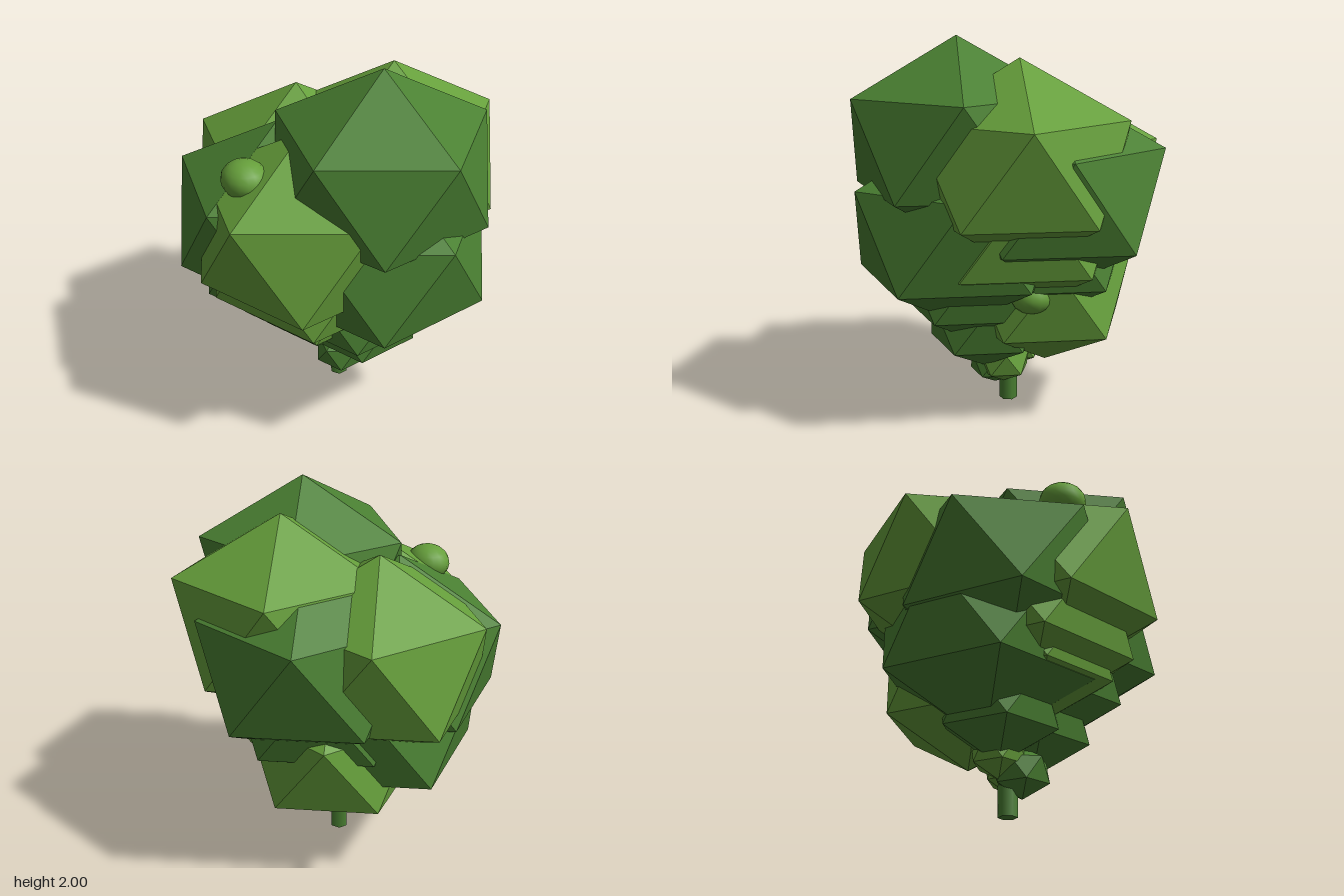
import * as THREE from 'three';
import { ConvexGeometry } from 'three/addons/geometries/ConvexGeometry.js';

// Icosahedron standing on a corner, with an upper-ring corner pointing to +x
function leafGeometry() {
  const h = 1 / Math.sqrt(5), r = 2 * h;
  const points = [new THREE.Vector3(0, 1, 0), new THREE.Vector3(0, -1, 0)];
  for (let k = 0; k < 10; k++) {
    const a = k * Math.PI / 5;
    points.push(new THREE.Vector3(r * Math.cos(a), k % 2 ? -h : h, r * Math.sin(a)));
  }
  return new ConvexGeometry(points);
}

export function createModel() {
  const group = new THREE.Group();
  const material = (name, color) => new THREE.MeshStandardMaterial({ name, color });
  const light = material('light leaf green', 0x669f3b);
  const dark = material('dark leaf green', 0x4a8032);
  const add = (name, geometry, mat, position, scale = [1, 1, 1]) => {
    const mesh = new THREE.Mesh(geometry, mat);
    mesh.name = name;
    mesh.position.set(...position);
    mesh.scale.set(...scale);
    group.add(mesh);
  };

  // Six-sided trunk
  add('trunk', new THREE.CylinderGeometry(0.05, 0.05, 0.5, 6).toNonIndexed(), dark, [0, 0.25, 0]);

  // Leaf clumps: x, y, z, radius; all slightly flattened
  const leaf = leafGeometry();
  const clumps = {
    darkClump: [dark, [
      [0.30, 1.475, -0.04, 0.61], [0.30, 1.025, -0.05, 0.61],
      [-0.145, 1.125, 0.27, 0.61], [-0.145, 1.225, -0.27, 0.61],
      [-0.175, 0.855, 0.11, 0.61], [-0.10, 0.98, -0.15, 0.55],
      [0.16, 0.78, 0, 0.5], [0.156, 0.52, -0.04, 0.337],
      [-0.09, 0.53, 0.08, 0.337], [0.065, 0.225, 0.03, 0.156],
    ]],
    lightClump: [light, [
      [-0.30, 1.215, 0.05, 0.61], [0.07, 1.375, -0.29, 0.61],
      [0.10, 1.165, 0.285, 0.61], [0.02, 0.975, 0.17, 0.61],
      [0.03, 1.095, -0.16, 0.61], [0.055, 0.81, 0.18, 0.45],
      [-0.16, 0.68, -0.13, 0.5], [-0.065, 0.31, 0.03, 0.156],
      [0.04, 0.25, -0.03, 0.156],
    ]],
  };
  for (const [name, [mat, list]] of Object.entries(clumps))
    list.forEach(([x, y, z, r], i) => add(`${name}${i + 1}`, leaf, mat, [x, y, z], [r, r * 0.86, r]));

  // Smooth round buds
  const bud = new THREE.SphereGeometry(1, 16, 10);
  add('frontBud', bud, light, [0.03, 1.5, 0.575], [0.122, 0.095, 0.112]);
  add('backBud', bud, light, [0.06, 0.73, -0.42], [0.11, 0.09, 0.11]);

  return group;
}
